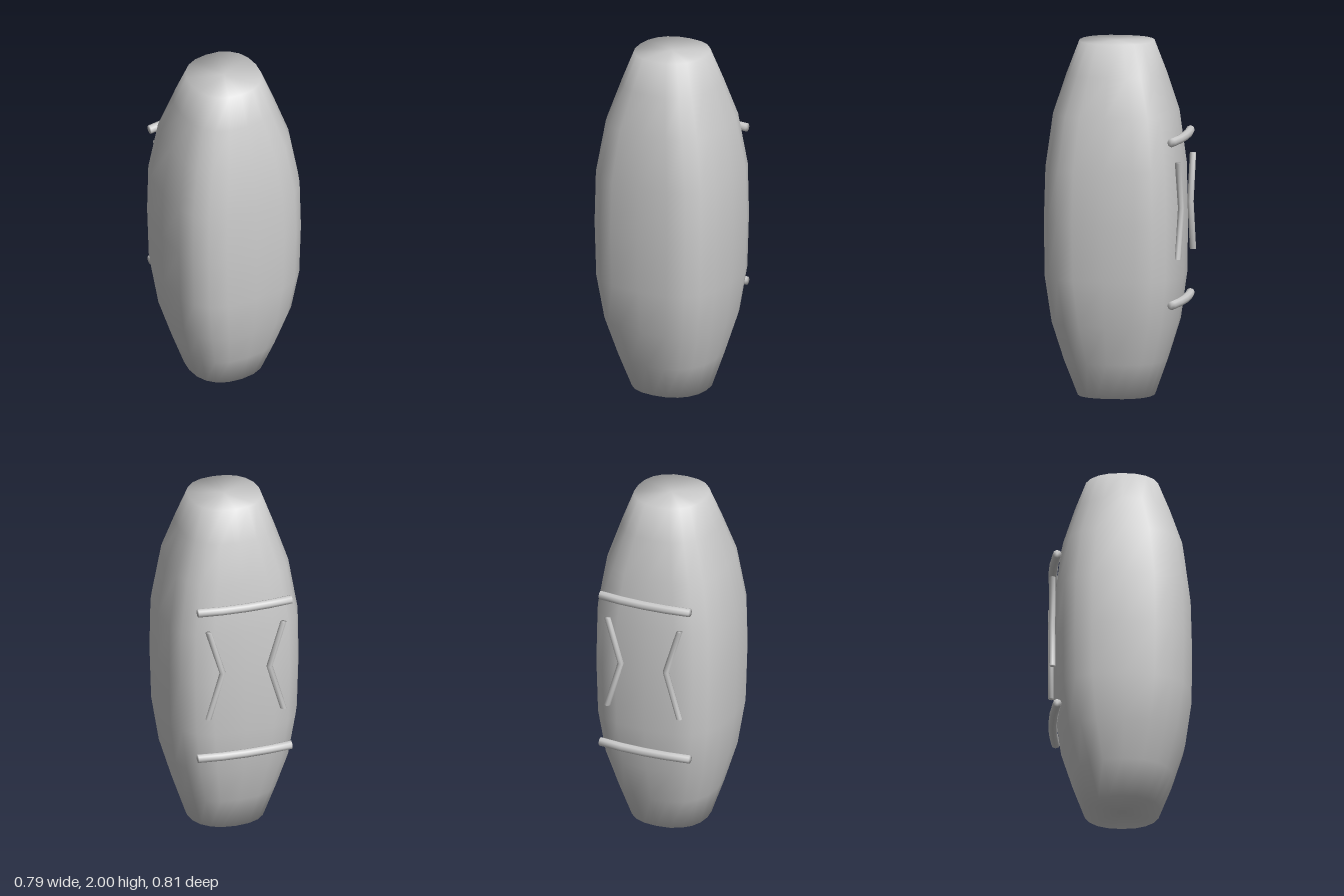
import * as THREE from 'three';

const material = new THREE.MeshStandardMaterial({ color: 0xcccccc });

// Smooth skin over rings of points, closed at both ends.
function loft(name, rings) {
  const n = rings[0].length;
  const points = rings.flat();
  const index = [];
  for (let j = 0; j < rings.length - 1; j++) {
    for (let i = 0; i < n; i++) {
      const a = j * n + i, b = j * n + (i + 1) % n;
      index.push(a, a + n, b, b, a + n, b + n);
    }
  }
  const centre = ring => ring.reduce((s, p) => s.add(p), new THREE.Vector3()).divideScalar(n);
  const last = (rings.length - 1) * n;
  const start = points.push(centre(rings[0])) - 1;
  const end = points.push(centre(rings[rings.length - 1])) - 1;
  for (let i = 0; i < n; i++) {
    const k = (i + 1) % n;
    index.push(start, i, k, end, last + k, last + i);
  }
  const geometry = new THREE.BufferGeometry().setFromPoints(points);
  geometry.setIndex(index);
  geometry.computeVertexNormals();
  const mesh = new THREE.Mesh(geometry, material);
  mesh.name = name;
  return mesh;
}

// Thin rod along a path; u and v span its cross-section.
function rod(name, path, radius, u, v, sides = 8) {
  return loft(name, path.map(p => Array.from({ length: sides }, (_, i) => {
    const a = (i / sides) * Math.PI * 2;
    return new THREE.Vector3(...p)
      .addScaledVector(u, Math.cos(a) * radius)
      .addScaledVector(v, Math.sin(a) * radius);
  })));
}

// Rounded-square ring; a higher power makes it squarer.
function bodyRing([y, halfX, front, back, power]) {
  const bend = t => Math.sign(t) * Math.abs(t) ** (2 / power);
  const sides = 20;
  return Array.from({ length: sides }, (_, i) => {
    const a = (i / sides) * Math.PI * 2;
    return new THREE.Vector3(
      bend(Math.cos(a)) * halfX, y,
      (front + back) / 2 + bend(Math.sin(a)) * (front - back) / 2);
  });
}

export function createModel() {
  const group = new THREE.Group();
  group.name = 'barrelBody';
  const X = new THREE.Vector3(1, 0, 0);
  const Y = new THREE.Vector3(0, 1, 0);
  const Z = new THREE.Vector3(0, 0, 1);

  // Body: height, half width, front z, back z, squareness
  group.add(loft('body', [
    [0, 0.22, 0.225, -0.205, 2.3],
    [0.2, 0.285, 0.3, -0.275, 2.5],
    [0.42, 0.348, 0.365, -0.34, 2.75],
    [0.68, 0.385, 0.4, -0.372, 2.95],
    [1.0, 0.394, 0.403, -0.375, 3],
    [1.3, 0.39, 0.395, -0.368, 2.95],
    [1.6, 0.342, 0.357, -0.332, 2.75],
    [1.82, 0.27, 0.287, -0.265, 2.5],
    [2, 0.205, 0.22, -0.2, 2.3],
  ].map(bodyRing)));

  // Arched horizontal bars across the back
  for (const [name, y] of [['upperBar', 1.465], ['lowerBar', 0.545]]) {
    const path = [-0.275, -0.14, 0, 0.14, 0.275].map(x => [x, y, -0.377 + 0.27 * x * x]);
    group.add(rod(name, path, 0.025, Z, Y));
  }

  // Bent rods between the bars, elbows towards the middle
  for (const [name, s] of [['leftChevron', 1], ['rightChevron', -1]]) {
    const path = [[s * 0.22, 0.8, -0.382], [s * 0.138, 1.08, -0.384], [s * 0.22, 1.345, -0.382]];
    group.add(rod(name, path, 0.018, X, Z));
  }

  return group;
}
